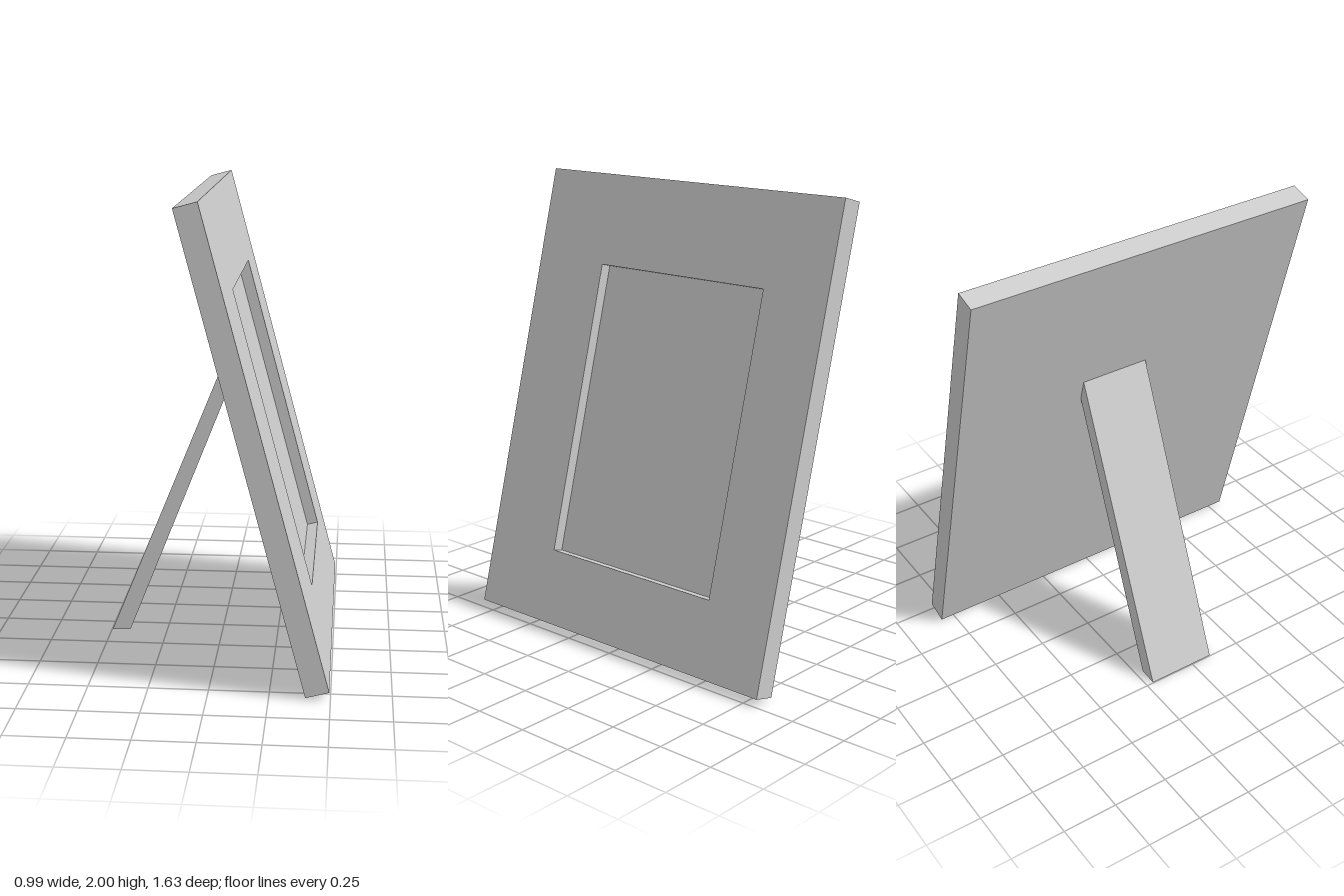
import * as THREE from 'three';

const WIDTH = 1.63, HEIGHT = 2.036, HALF = 0.05; // HALF = half the panel thickness
const TILT = THREE.MathUtils.degToRad(15);

function rect(Type, x0, y0, x1, y1) {
  const path = new Type();
  path.moveTo(x0, y0);
  path.lineTo(x1, y0);
  path.lineTo(x1, y1);
  path.lineTo(x0, y1);
  path.closePath();
  return path;
}

export function createModel() {
  const model = new THREE.Group();
  model.name = 'pictureFrame';
  const material = new THREE.MeshStandardMaterial({ color: 0xcccccc, flatShading: true });

  const add = (parent, name, geometry) => {
    const mesh = new THREE.Mesh(geometry, material);
    mesh.name = name;
    parent.add(mesh);
    return mesh;
  };

  // Leaning panel: local +z is the picture side, origin at its lower front edge
  const panel = new THREE.Group();
  panel.name = 'panel';
  panel.rotation.set(0, Math.PI / 2, TILT, 'ZYX');
  panel.position.set(0.495, 0.033, 0);
  model.add(panel);

  // Front border with the picture opening
  const border = rect(THREE.Shape, -WIDTH / 2, 0, WIDTH / 2, HEIGHT);
  border.holes.push(rect(THREE.Path, -0.425, 0.328, 0.49, 1.632));
  add(panel, 'border', new THREE.ExtrudeGeometry(border, { depth: HALF, bevelEnabled: false }))
    .position.z = -HALF;

  // Backing board that closes the opening
  add(panel, 'backing', new THREE.BoxGeometry(WIDTH, HEIGHT, HALF))
    .position.set(0, HEIGHT / 2, -1.5 * HALF);

  // Rear prop, cut flush with the back of the panel
  const profile = new THREE.Shape([
    [-0.497, 0], [-0.415, 0.005], [0.07, 1.23], [0.043, 1.33],
  ].map(([x, y]) => new THREE.Vector2(x, y)));
  add(model, 'standLeg', new THREE.ExtrudeGeometry(profile, { depth: 0.317, bevelEnabled: false }))
    .position.z = -0.217;

  return model;
}
